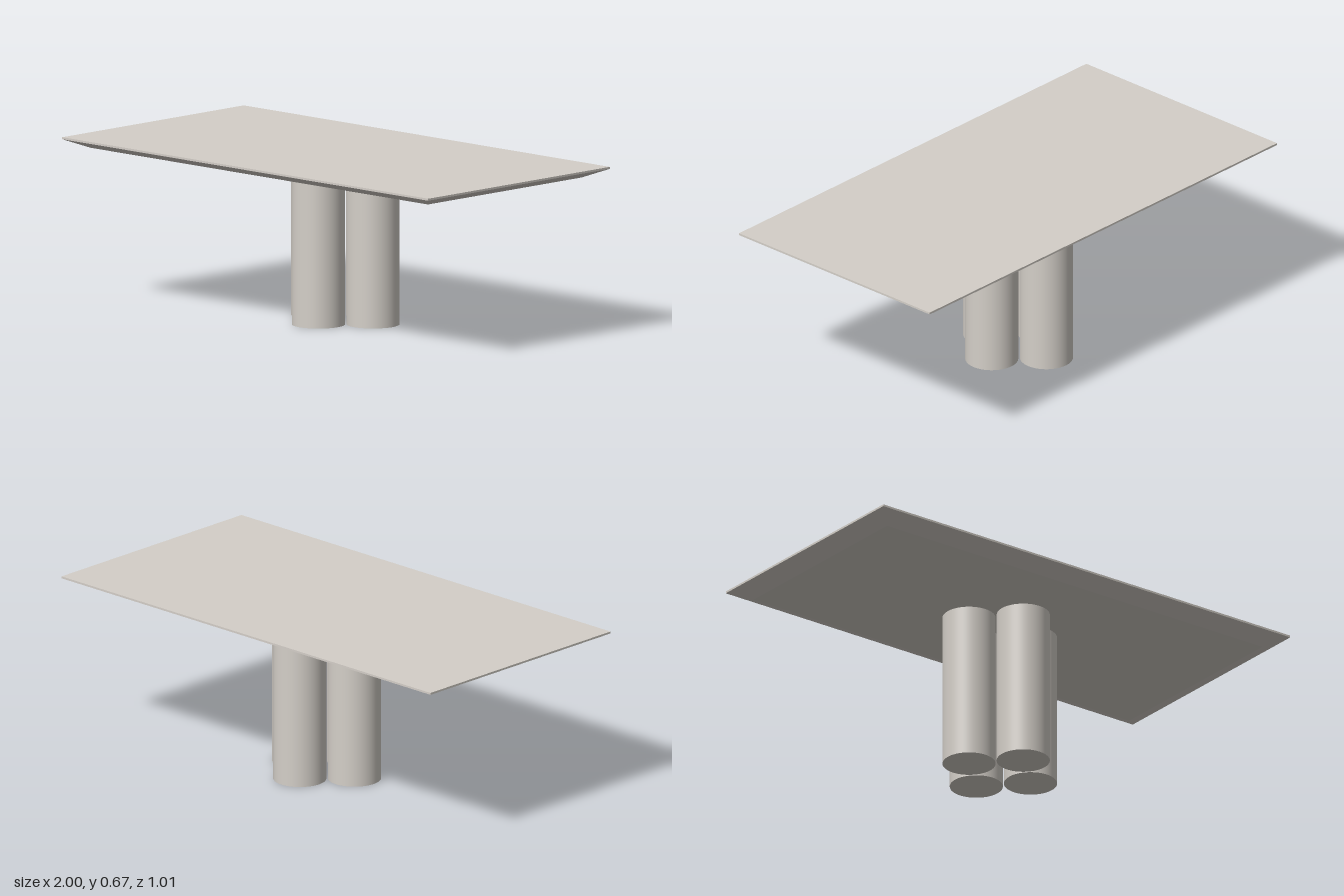
import * as THREE from 'three';

export function createModel() {
  const group = new THREE.Group();
  const stone = new THREE.MeshStandardMaterial({ color: 0xd4cfc8 });
  stone.name = 'warm grey stone';

  const TOP = 0.67, RIM = 0.662, UNDER = 0.628;
  const HALF_X = 1, HALF_Z = 0.507, INSET = 0.078;

  // Tabletop: thin vertical rim, then a wide bevel running in to the underside
  const box = new THREE.BoxGeometry(2, 2, 2, 1, 2, 1);
  const p = box.attributes.position;
  for (let i = 0; i < p.count; i++) {
    const level = Math.round(p.getY(i));
    const inset = level < 0 ? INSET : 0;
    const y = level > 0 ? TOP : level === 0 ? RIM : UNDER;
    p.setXYZ(i, Math.sign(p.getX(i)) * (HALF_X - inset), y, Math.sign(p.getZ(i)) * (HALF_Z - inset));
  }
  const topGeometry = box.toNonIndexed();
  topGeometry.computeVertexNormals();
  const tabletop = new THREE.Mesh(topGeometry, stone);
  tabletop.name = 'tabletop';
  group.add(tabletop);

  // Pedestal: four round columns in a diamond, set slightly towards the back
  const pedestal = new THREE.Group();
  pedestal.name = 'pedestal';
  pedestal.position.z = -0.053;
  const columnGeometry = new THREE.CylinderGeometry(0.104, 0.104, UNDER, 64);
  ['frontColumn', 'leftColumn', 'backColumn', 'rightColumn'].forEach((name, i) => {
    const angle = (i * Math.PI) / 2;
    const column = new THREE.Mesh(columnGeometry, stone);
    column.name = name;
    column.position.set(0.151 * Math.sin(angle), UNDER / 2, 0.151 * Math.cos(angle));
    pedestal.add(column);
  });
  group.add(pedestal);

  return group;
}
